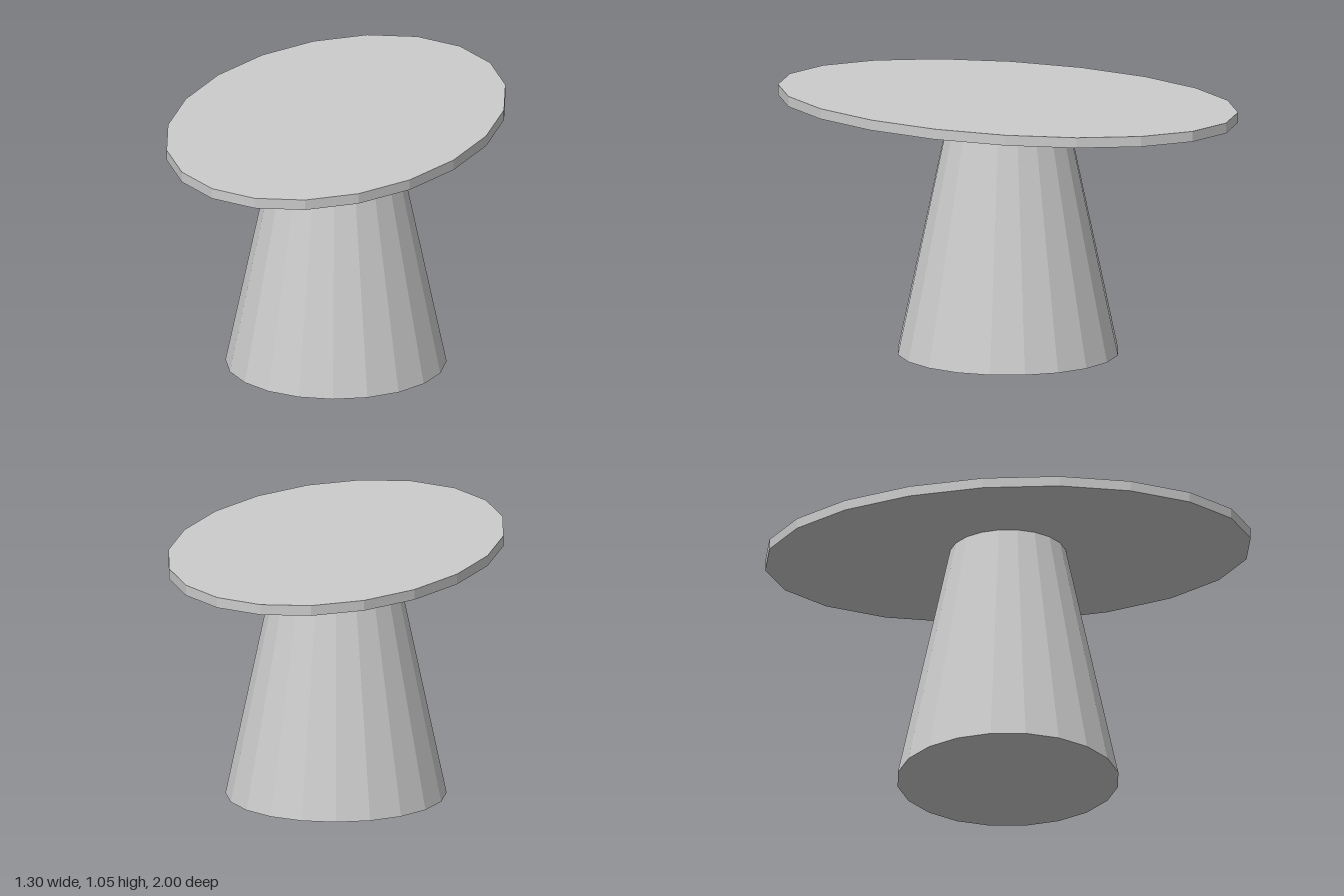
import * as THREE from 'three';

const SIDES = 20;

export function createModel() {
  const group = new THREE.Group();
  const material = new THREE.MeshStandardMaterial({ color: 0xcccccc, flatShading: true });

  // Faceted round part standing on y0, stretched to an ellipse by scaleX / scaleZ
  function addRound(name, topRadius, bottomRadius, y0, y1, scaleX, scaleZ) {
    const geometry = new THREE.CylinderGeometry(topRadius, bottomRadius, y1 - y0, SIDES);
    geometry.scale(scaleX, 1, scaleZ);
    geometry.translate(0, (y0 + y1) / 2, 0);
    const mesh = new THREE.Mesh(geometry, material);
    mesh.name = name;
    group.add(mesh);
  }

  // Tapered pedestal
  addRound('pedestal', 0.237, 0.452, 0, 1.012, 0.995, 1.005);
  // Thin oval table top, long axis front to back
  addRound('tableTop', 1, 1, 1.012, 1.055, 0.648, 1);

  return group;
}
